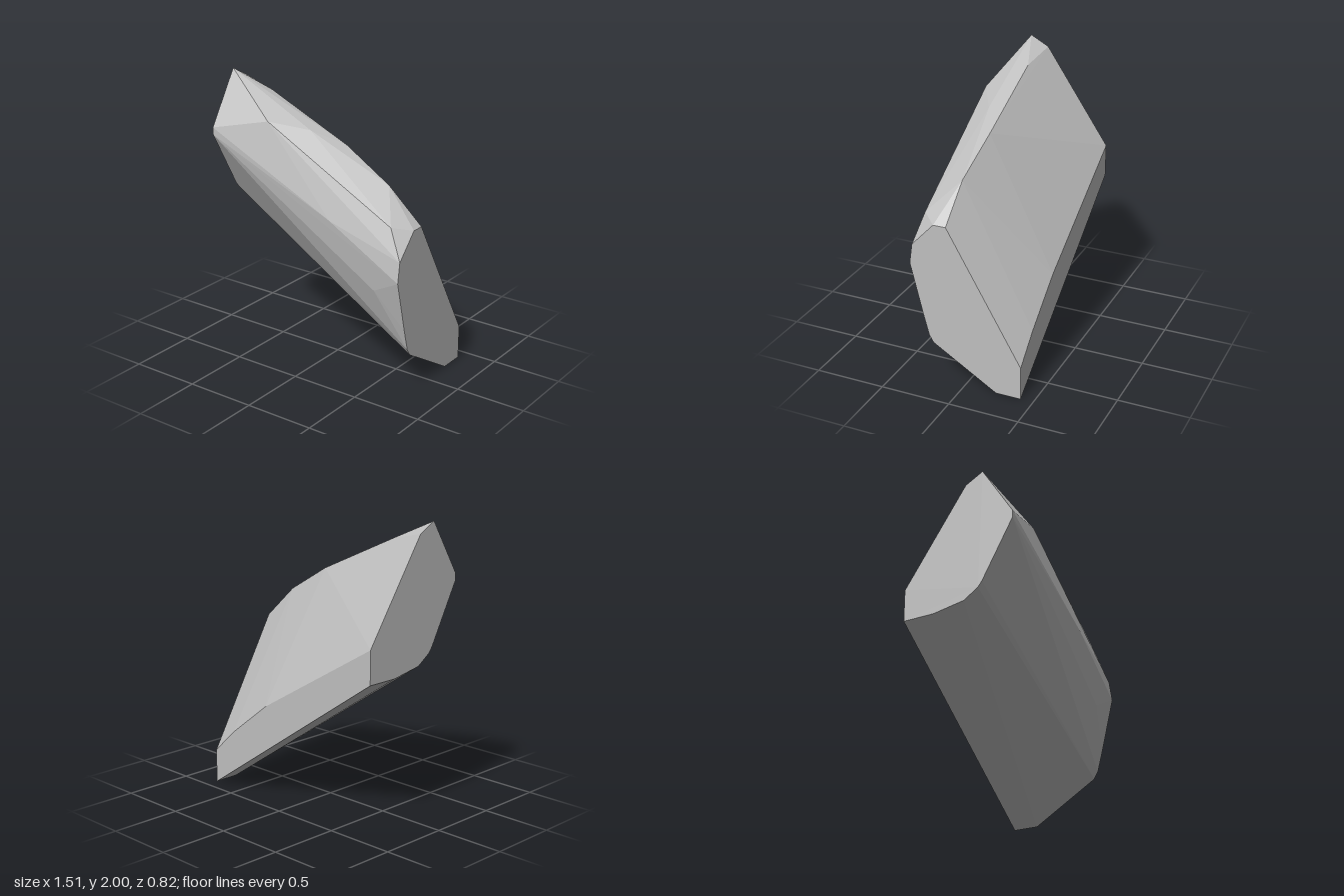
import * as THREE from 'three';
import { ConvexGeometry } from 'three/addons/geometries/ConvexGeometry.js';

export function createModel() {
  const group = new THREE.Group();
  group.name = 'slantedRock';
  const stone = new THREE.MeshStandardMaterial({ color: 0xbfbfbf, flatShading: true });
  stone.name = 'grey stone';

  // flat end outlines as [z, y]
  const lowEnd = [[0.21, 1.16], [0.12, 1.16], [-0.41, 0.24], [-0.41, 0], [-0.23, 0],
    [0.23, 0.28], [0.26, 0.33], [0.30, 0.48], [0.39, 0.85], [0.37, 0.99]];
  const highEnd = [[0.18, 2.0], [0.05, 1.93], [-0.41, 1.25], [-0.41, 1.02], [-0.18, 1.02],
    [0.05, 1.06], [0.155, 1.13], [0.185, 1.17], [0.41, 1.58], [0.41, 1.63]];

  // chipped corners between the ends as [x, y, z]
  const chips = [
    [-0.49, 1.87, 0.09], [0.14, 1.59, 0.09], [0.5, 1.39, 0.12], // top ridge
    [-0.08, 1.68, 0.2], [-0.33, 1.73, 0.34], [0.65, 1.19, 0.32], // front shoulder
    [0.22, 1.17, 0.405], [0.55, 0.74, 0.36], // front bulge
    [0.56, 0.42, -0.41], [0.22, 0.68, -0.41], // back edge
  ];

  const points = [
    ...lowEnd.map(([z, y]) => new THREE.Vector3(0.755, y, z)),
    ...highEnd.map(([z, y]) => new THREE.Vector3(-0.755, y, z)),
    ...chips.map((p) => new THREE.Vector3(...p)),
  ];
  const rock = new THREE.Mesh(new ConvexGeometry(points), stone);
  rock.name = 'rock';
  group.add(rock);
  return group;
}
